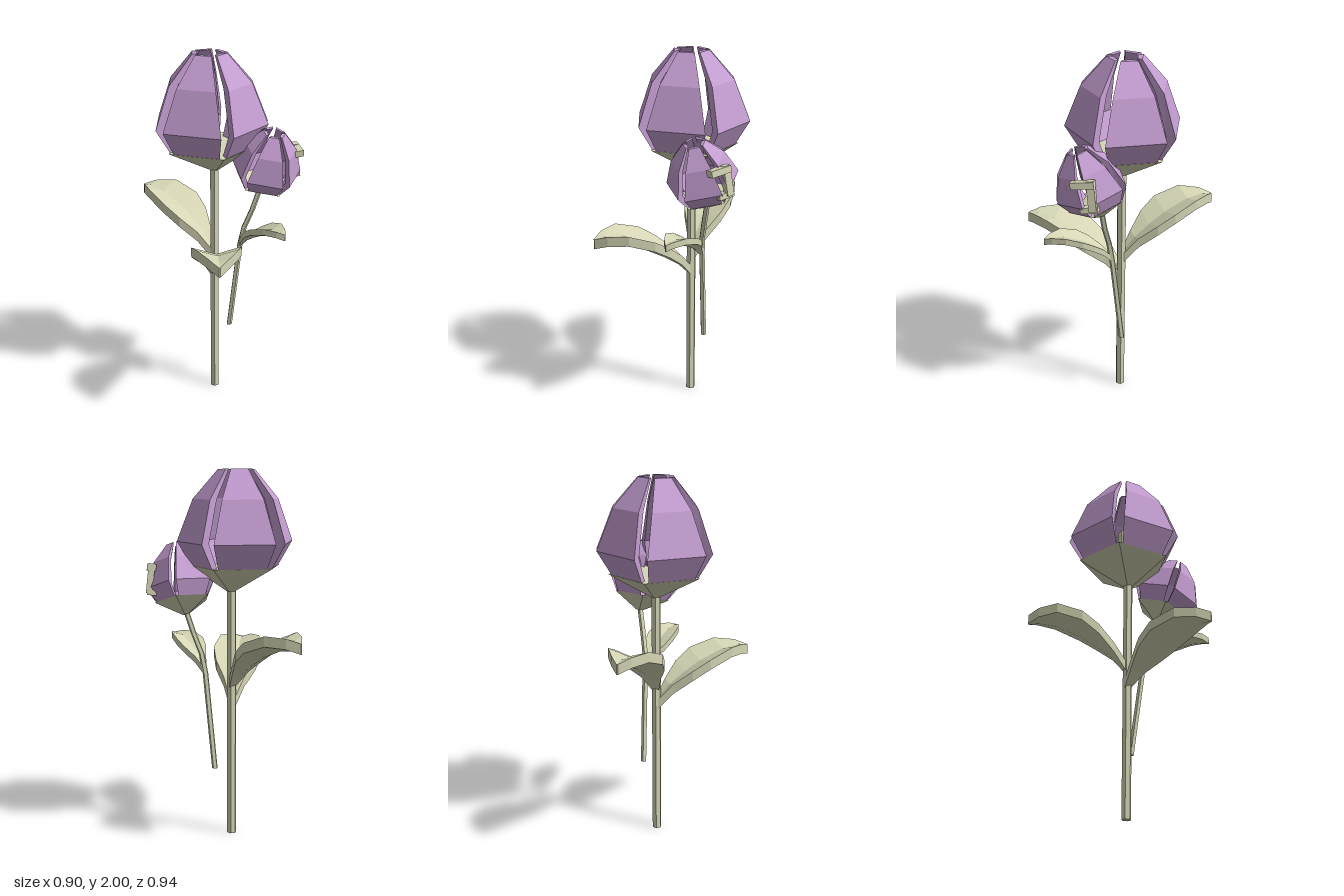
import * as THREE from 'three';

const green = new THREE.MeshStandardMaterial({ color: 0xd6d6b6, flatShading: true, side: THREE.DoubleSide });
const purple = new THREE.MeshStandardMaterial({ color: 0xc39dd0, flatShading: true, side: THREE.DoubleSide });

// Closed solid skinned over equal-sized rings of [x, y, z] points
function loft(rings) {
  const n = rings[0].length, last = (rings.length - 1) * n, index = [];
  for (let r = 0; r < rings.length - 1; r++) {
    for (let i = 0; i < n; i++) {
      const a = r * n + i, b = r * n + (i + 1) % n;
      index.push(a, b, b + n, a, b + n, a + n);
    }
  }
  for (let i = 1; i < n - 1; i++) {
    index.push(0, i + 1, i, last, last + i, last + i + 1);
  }
  let geo = new THREE.BufferGeometry();
  geo.setAttribute('position', new THREE.Float32BufferAttribute(rings.flat(2), 3));
  geo.setIndex(index);
  geo = geo.toNonIndexed();
  geo.computeVertexNormals();
  return geo;
}

function mesh(name, geo, mat, x = 0, y = 0, z = 0) {
  const m = new THREE.Mesh(geo, mat);
  m.name = name;
  m.position.set(x, y, z);
  return m;
}

// Horizontal regular polygon ring
function polygon(sides, radius, x, y, z) {
  return Array.from({ length: sides }, (_, i) => {
    const a = i / sides * Math.PI * 2;
    return [x + radius * Math.cos(a), y, z - radius * Math.sin(a)];
  });
}

// Flower head: calyx cone, five thick petals, pistil; origin at the calyx rim
function flower(name, tipX, withPistil) {
  const g = new THREE.Group();
  g.name = name;
  g.add(mesh('calyx', loft([polygon(5, 0.026, tipX, -0.135, 0), polygon(5, 0.26, 0, 0, 0)]), green));

  // height, outer radius, inner radius, outer half width, inner half width
  const profile = [
    [0, 0.207, 0.165, 0.128, 0.1],
    [0.13, 0.278, 0.225, 0.16, 0.13],
    [0.355, 0.207, 0.16, 0.108, 0.088],
    [0.51, 0.088, 0.062, 0.046, 0.03],
  ];
  const petal = loft(profile.map(([y, ro, ri, wo, wi]) =>
    [[ro, y, wo], [ro, y, -wo], [ri, y, -wi], [ri, y, wi]]));
  for (let i = 0; i < 5; i++) {
    const p = mesh('petal', petal, purple);
    p.rotation.y = Math.PI + i * Math.PI * 2 / 5;
    g.add(p);
  }
  if (withPistil) {
    g.add(mesh('pistil', new THREE.CylinderGeometry(0.04, 0.04, 0.21, 5), green, 0, 0.105, 0));
    g.add(mesh('pistilTip', new THREE.CylinderGeometry(0.014, 0.014, 0.01, 5), purple, 0, 0.212, 0));
  }
  return g;
}

// Arched V-folded leaf from base to tip
function leaf(name, base, tip, halfWidth, thick) {
  const dx = tip[0] - base[0], dz = tip[2] - base[2];
  const length = Math.hypot(dx, dz), rise = tip[1] - base[1];
  // distance along, height along, relative width
  const stations = [
    [0, 0, 0.12], [0.14, 0.33, 0.42], [0.3, 0.57, 0.82], [0.47, 0.78, 1],
    [0.72, 0.99, 0.83], [0.9, 1.03, 0.4], [1, 1, 0.03],
  ];
  const geo = loft(stations.map(([t, h, w]) => {
    const x = t * length, y = h * rise, z = w * halfWidth;
    const up = y + 0.3 * z, low = y - thick;
    return [[x, y, 0], [x, up, z], [x, up - thick, z], [x, low, 0], [x, up - thick, -z], [x, up, -z]];
  }));
  const m = mesh(name, geo, green, ...base);
  m.rotation.y = Math.atan2(-dz, dx);
  return m;
}

export function createModel() {
  const model = new THREE.Group();
  model.name = 'flowerSprig';

  // Main stem and flower
  model.add(mesh('mainStem', new THREE.CylinderGeometry(0.026, 0.026, 1.4, 6), green, -0.03, 0.7, -0.097));
  const main = flower('mainFlower', 0.03, true);
  main.position.set(-0.058, 1.49, -0.1);
  model.add(main);

  // Bent side stem
  const path = [[0.055, 0.38, -0.143], [0.112, 0.9, -0.108], [0.135, 1.01, -0.1], [0.18, 1.12, -0.095], [0.218, 1.235, -0.095]];
  model.add(mesh('sideStem', loft(path.map(([x, y, z]) => polygon(5, 0.016, x, y, z))), green));

  // Smaller tilted flower
  const side = flower('sideFlower', 0, false);
  const axis = new THREE.Vector3(0.17, 0.95, 0.27).normalize();
  side.position.set(0.237, 1.3, -0.078);
  side.scale.setScalar(0.61);
  side.quaternion.setFromUnitVectors(new THREE.Vector3(0, 1, 0), axis);
  side.rotateY(16 * Math.PI / 180);
  model.add(side);

  // Angular bract on the outer side of the small flower
  const bract = new THREE.Group();
  bract.name = 'bract';
  bract.add(mesh('bractTop', new THREE.BoxGeometry(0.05, 0.035, 0.12), green, 0, 0.05, 0.01));
  bract.add(mesh('bractSpine', new THREE.BoxGeometry(0.035, 0.16, 0.04), green, 0, -0.01, -0.03));
  bract.add(mesh('bractFoot', new THREE.BoxGeometry(0.05, 0.03, 0.09), green, -0.015, -0.085, -0.01));
  bract.position.set(0.415, 1.425, -0.1);
  bract.rotation.set(0.12, 0.25, 0.08);
  model.add(bract);

  // Leaves
  model.add(leaf('frontLeaf', [-0.035, 0.77, -0.1], [0, 1.02, 0.47], 0.135, 0.055));
  model.add(leaf('backLeaf', [-0.03, 0.87, -0.1], [-0.445, 1.14, -0.465], 0.135, 0.055));
  model.add(leaf('sideLeaf', [0.115, 0.93, -0.105], [0.35, 1.08, 0.18], 0.08, 0.035));

  return model;
}
